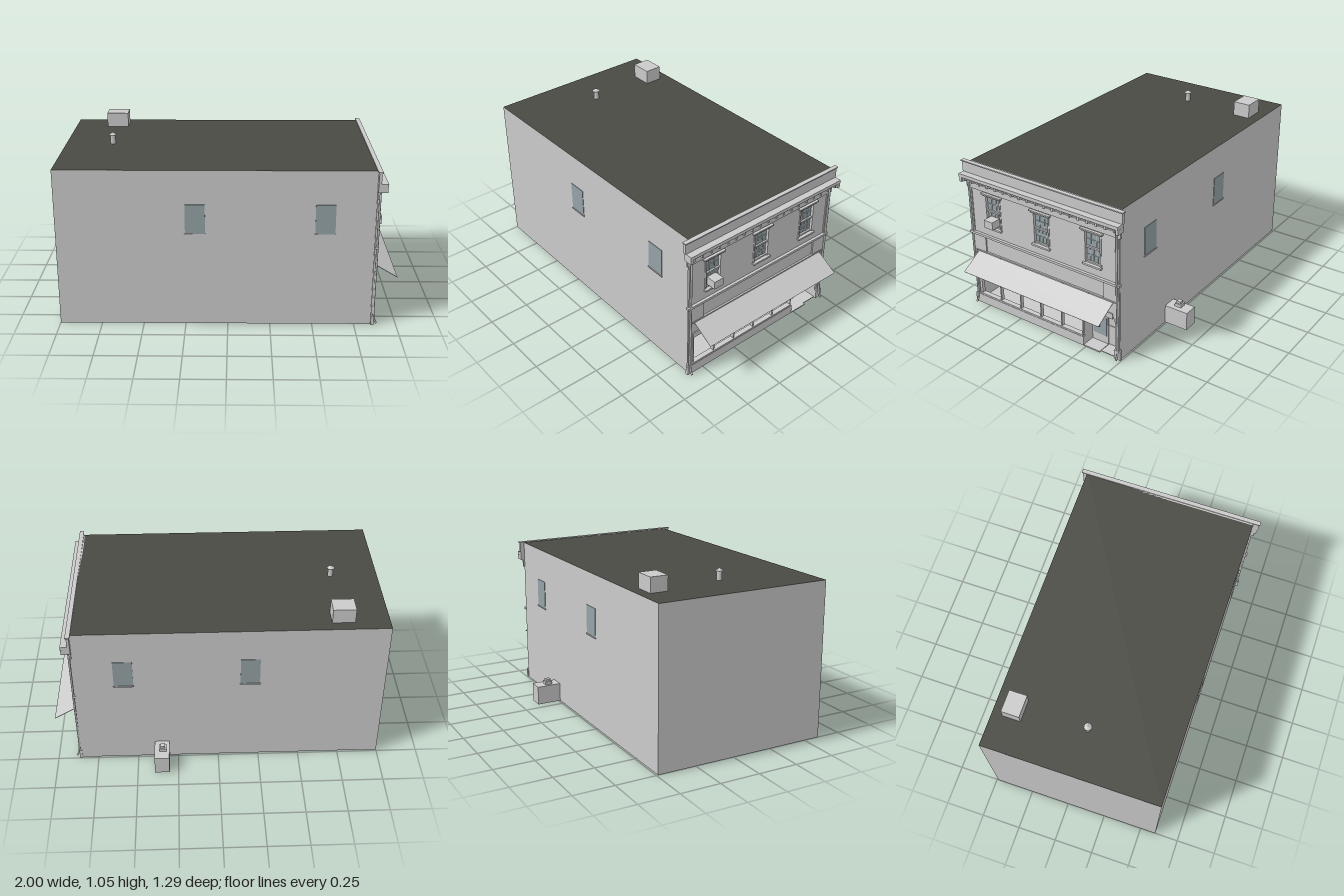
import * as THREE from 'three';

export function createModel() {
  const root = new THREE.Group();
  root.name = 'shopBuilding';
  const mat = (name, color, side = THREE.FrontSide) => {
    const m = new THREE.MeshStandardMaterial({ color, side });
    m.name = name;
    return m;
  };
  const stone = mat('paleGreyWall', 0xcacaca, THREE.DoubleSide);
  const glass = mat('blueGreyGlass', 0x94a2a6, THREE.DoubleSide);
  const tar = mat('darkRoof', 0x4a4a44, THREE.DoubleSide);

  const add = (name, geo, m = stone) => {
    const mesh = new THREE.Mesh(geo, m);
    mesh.name = name;
    root.add(mesh);
    return mesh;
  };
  // Box given by its limits on each axis
  const box = (name, x0, x1, y0, y1, z0, z1, m = stone) =>
    add(name, new THREE.BoxGeometry(x1 - x0, y1 - y0, z1 - z0), m)
      .position.set((x0 + x1) / 2, (y0 + y1) / 2, (z0 + z1) / 2);
  const plane = (name, w, h, pos, rx, ry, m = stone) => {
    const p = add(name, new THREE.PlaneGeometry(w, h), m);
    p.position.set(...pos);
    p.rotation.set(rx, ry, 0);
  };

  const B = -1, F = 0.855, Z0 = -0.49, Z1 = 0.6, H = 0.96;
  const L = F - B, W = Z1 - Z0, cx = (B + F) / 2, cz = (Z0 + Z1) / 2;
  const H90 = Math.PI / 2;

  // Shell, open underneath
  plane('leftWall', L, H, [cx, H / 2, Z1], 0, 0);
  plane('rightWall', L, H, [cx, H / 2, Z0], 0, Math.PI);
  plane('backWall', W, H, [B, H / 2, cz], 0, -H90);
  plane('roof', L, W, [cx, H, cz], -H90, 0, tar);

  // Street front with openings; shape x is -z
  const rect = (path, z0, z1, y0, y1) => {
    path.moveTo(-z1, y0);
    path.lineTo(-z0, y0);
    path.lineTo(-z0, y1);
    path.lineTo(-z1, y1);
    path.closePath();
    return path;
  };
  const winZ = [0.428, 0.062, -0.305];
  const front = rect(new THREE.Shape(), Z0, Z1, 0, H);
  winZ.forEach(z => front.holes.push(rect(new THREE.Path(), z - 0.06, z + 0.06, 0.57, 0.77)));
  front.holes.push(rect(new THREE.Path(), -0.225, 0.57, 0.07, 0.262));
  front.holes.push(rect(new THREE.Path(), -0.45, -0.232, 0.005, 0.262));
  const wall = new THREE.ExtrudeGeometry(front, { depth: 0.02, bevelEnabled: false });
  wall.rotateY(H90);
  add('frontWall', wall).position.x = F - 0.02;

  // Shop interior
  const shopBack = 0.24;
  plane('shopFloor', F - shopBack, W, [(F + shopBack) / 2, 0.004, cz], -H90, 0);
  plane('shopCeiling', F - shopBack, W, [(F + shopBack) / 2, 0.38, cz], H90, 0);
  plane('shopBackWall', W, 0.376, [shopBack, 0.192, cz], 0, H90);
  for (const x of [0.63, 0.45])
    for (let i = 0; i < 10; i++)
      add('floorDisc', new THREE.CylinderGeometry(0.017, 0.017, 0.008, 12)).position.set(x, 0.004, 0.47 - i * 0.07);

  // Shop window mullions and rails
  for (let i = 0; i < 6; i++) {
    const z = 0.568 - i * 0.1585;
    box('mullion', 0.838, 0.86, 0.07, 0.262, z - 0.004, z + 0.004);
  }
  box('shopSill', 0.835, 0.866, 0.06, 0.07, -0.225, 0.58);
  box('shopBeam', 0.85, 0.862, 0.26, 0.295, -0.44, 0.57);
  box('plinth', 0.85, 0.868, 0, 0.06, -0.232, 0.615);
  box('plinth', 0.85, 0.868, 0, 0.06, -0.495, -0.45);

  // Recessed entrance
  box('entranceWall', 0.765, 0.775, 0.005, 0.27, -0.45, -0.228);
  box('entranceSide', 0.77, 0.85, 0.005, 0.262, -0.232, -0.226);
  box('entranceSide', 0.77, 0.85, 0.005, 0.262, -0.455, -0.45);
  box('entranceCeiling', 0.77, 0.85, 0.262, 0.268, -0.455, -0.226);
  box('entrancePanel', 0.775, 0.78, 0.01, 0.14, -0.448, -0.352);
  box('doorStep', 0.775, 0.87, -0.0, 0.008, -0.35, -0.235);
  box('door', 0.775, 0.783, 0.008, 0.255, -0.35, -0.235);
  box('doorGlass', 0.783, 0.786, 0.06, 0.245, -0.34, -0.245, glass);
  box('doorHandle', 0.786, 0.792, 0.11, 0.13, -0.292, -0.288, tar);

  // Awning
  const a0 = new THREE.Vector2(0.862, 0.372), a1 = new THREE.Vector2(1, 0.29);
  const slope = a1.clone().sub(a0);
  const awning = add('awning', new THREE.BoxGeometry(slope.length(), 0.003, 1.01));
  awning.position.set((a0.x + a1.x) / 2, (a0.y + a1.y) / 2, 0.06);
  awning.rotation.z = slope.angle();

  // Sign band with raised ends
  box('signLedge', 0.85, 0.866, 0.376, 0.384, -0.47, 0.585);
  box('signEnd', 0.85, 0.863, 0.384, 0.487, 0.5, 0.585);
  box('signEnd', 0.85, 0.863, 0.384, 0.487, -0.47, -0.38);
  box('beltCourse', 0.85, 0.872, 0.49, 0.505, -0.495, 0.617);

  // Upper windows
  for (const z of winZ) {
    box('windowGlass', 0.838, 0.841, 0.57, 0.77, z - 0.06, z + 0.06, glass);
    for (const s of [-1, 1]) {
      const e = z + s * 0.056;
      box('windowJamb', 0.838, 0.858, 0.57, 0.77, e - 0.005, e + 0.005);
    }
    for (const [y, h] of [[0.575, 0.005], [0.67, 0.005], [0.766, 0.004]])
      box('windowRail', 0.838, 0.852, y - h, y + h, z - 0.055, z + 0.055);
    for (const k of [-0.026, 0, 0.026])
      box('glazingBar', 0.84, 0.844, 0.575, 0.67, z + k - 0.001, z + k + 0.001);
    for (const k of [-0.018, 0.018])
      box('glazingBar', 0.84, 0.844, 0.67, 0.765, z + k - 0.001, z + k + 0.001);
    for (const y of [0.62, 0.717])
      box('glazingBar', 0.84, 0.844, y - 0.001, y + 0.001, z - 0.055, z + 0.055);
    box('windowSill', 0.84, 0.872, 0.56, 0.571, z - 0.065, z + 0.065);
    box('windowHead', 0.85, 0.866, 0.77, 0.779, z - 0.068, z + 0.068);
    box('windowHeadCap', 0.85, 0.872, 0.779, 0.788, z - 0.076, z + 0.076);
  }
  box('airConditioner', 0.84, 0.905, 0.585, 0.635, 0.395, 0.46);

  // Cornice and parapet
  box('frieze', 0.85, 0.862, 0.795, 0.838, -0.5, 0.62);
  box('corniceBed', 0.85, 0.875, 0.838, 0.847, -0.505, 0.625);
  box('corniceBack', 0.85, 0.868, 0.847, 0.872, -0.5, 0.62);
  for (let i = 0; i < 19; i++) {
    const z = 0.605 - i * 0.0605;
    box('corniceBracket', 0.865, 0.9, 0.847, 0.872, z - 0.006, z + 0.006);
  }
  for (const z of [0.623, -0.507])
    box('corniceEndBlock', 0.85, 0.905, 0.842, 0.872, z - 0.009, z + 0.009);
  box('corniceShelf', 0.85, 0.907, 0.872, 0.893, -0.515, 0.634);
  box('parapet', 0.85, 0.866, 0.893, 0.958, -0.517, 0.638);
  box('parapetCap', 0.845, 0.872, 0.958, 0.965, -0.523, 0.643);

  // Downpipes kicked out at the foot
  for (const z of [0.597, -0.476]) {
    const pts = [[0.868, 0.84], [0.868, 0.45], [0.868, 0.05], [0.873, 0.025], [0.885, 0.005]];
    const path = new THREE.CatmullRomCurve3(pts.map(([x, y]) => new THREE.Vector3(x, y, z)), false, 'centripetal');
    add('downpipe', new THREE.TubeGeometry(path, 30, 0.006, 8));
    box('cornerStrip', 0.85, 0.861, 0.06, 0.795, z - 0.011, z + 0.011);
  }

  // Side windows, both walls
  for (const x of [-0.19, 0.5625])
    for (const [z, s] of [[Z1, 1], [Z0, -1]]) {
      box('sideWindow', x - 0.058, x + 0.058, 0.577, 0.755, z - 0.003, z + 0.003, glass);
      box('sideWindowSill', x - 0.062, x + 0.062, 0.57, 0.577, z + s * 0.003 - 0.004, z + s * 0.003 + 0.004);
    }

  // Roof unit and capped vent
  box('roofUnit', -0.795, -0.66, H, 1.05, -0.425, -0.315);
  add('roofVent', new THREE.CylinderGeometry(0.016, 0.016, 0.06, 12)).position.set(-0.712, 0.988, 0.067);
  add('roofVentCap', new THREE.ConeGeometry(0.024, 0.016, 12)).position.set(-0.712, 1.024, 0.067);

  // Utility box by the right wall
  box('utilityBox', 0.305, 0.395, 0, 0.118, -0.643, Z0);
  box('utilityNeck', 0.322, 0.365, 0.118, 0.138, -0.582, -0.538);
  box('utilityCap', 0.33, 0.358, 0.138, 0.153, -0.574, -0.546);
  return root;
}
